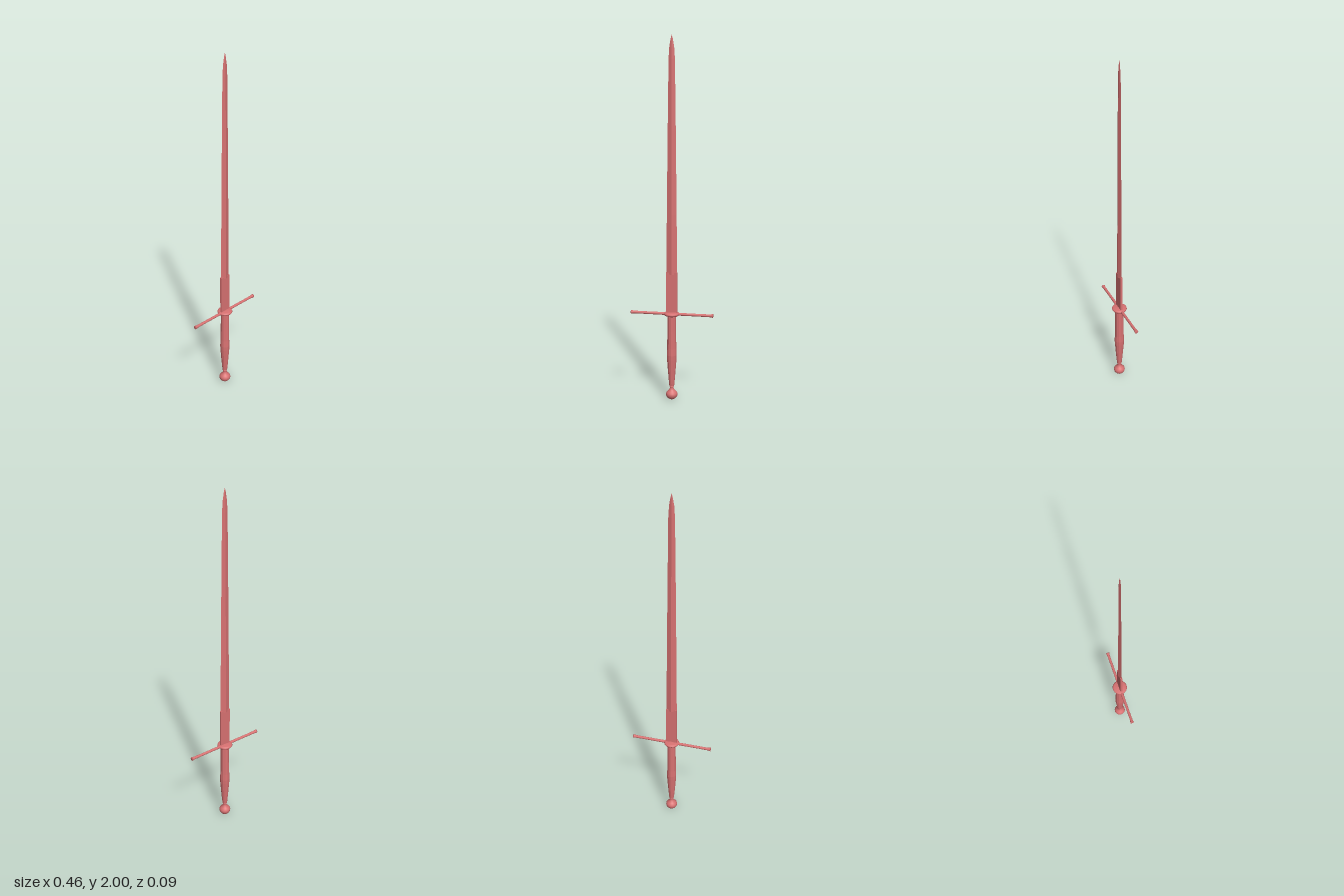
import * as THREE from 'three';

const red = new THREE.MeshStandardMaterial({ color: 0xd87272 });
const redFlat = new THREE.MeshStandardMaterial({ color: 0xd87272, flatShading: true });

function add(parent, name, geometry, material = red) {
  const mesh = new THREE.Mesh(geometry, material);
  mesh.name = name;
  parent.add(mesh);
  return mesh;
}

// Turned part from [radius, height] pairs, listed bottom to top
function turned(points, sides) {
  return new THREE.LatheGeometry(points.map(([r, y]) => new THREE.Vector2(r, y)), sides);
}

// Diamond-section blade through [height, half width, half thickness] stations, base to tip
function bladeGeometry(stations) {
  const rows = stations.length - 1;
  const geometry = new THREE.CylinderGeometry(1, 1, 1, 4, rows, false);
  const p = geometry.attributes.position;
  for (let i = 0; i < p.count; i++) {
    const [y, w, t] = stations[Math.round((p.getY(i) + 0.5) * rows)];
    p.setXYZ(i, p.getX(i) * w, y, p.getZ(i) * t);
  }
  const flat = geometry.toNonIndexed();
  flat.computeVertexNormals();
  return flat;
}

export function createModel() {
  const sword = new THREE.Group();
  sword.name = 'sword';

  // Ridged blade, slowly tapering and then closing in a rounded point
  add(sword, 'blade', bladeGeometry([
    [0.72, 0.03, 0.011], [1.05, 0.027, 0.0095], [1.5, 0.022, 0.0075],
    [1.88, 0.017, 0.0055], [1.94, 0.013, 0.0045], [1.98, 0.006, 0.003], [2, 0.0005, 0.0005],
  ]), redFlat);

  // Thin flat section between blade and guard
  add(sword, 'ricasso', new THREE.BoxGeometry(0.061, 0.25, 0.012), redFlat).position.y = 0.606;

  // Domed round collar at the middle of the guard
  add(sword, 'guardCollar', turned([
    [0, 0.485], [0.032, 0.486], [0.04, 0.49], [0.043, 0.496], [0.041, 0.501], [0.034, 0.505], [0, 0.507],
  ], 24));

  // Straight guard arms with flared ends
  for (const side of [-1, 1]) {
    const arm = add(sword, side > 0 ? 'leftGuardArm' : 'rightGuardArm', turned([
      [0, 0], [0.008, 0], [0.0075, 0.15], [0.008, 0.215], [0.0105, 0.226], [0.0105, 0.23], [0, 0.23],
    ], 12));
    arm.rotation.z = -side * Math.PI / 2;
    arm.position.y = 0.496;
  }

  // Long faceted grip, swelling above its lower third
  add(sword, 'grip', turned([
    [0, 0.078], [0.014, 0.08], [0.017, 0.11], [0.022, 0.17], [0.027, 0.235],
    [0.028, 0.26], [0.026, 0.3], [0.0245, 0.4], [0.0235, 0.488], [0, 0.49],
  ], 12), redFlat);

  // Rounded pommel with a narrow neck
  add(sword, 'pommel', turned([
    [0, 0], [0.013, 0.002], [0.023, 0.008], [0.03, 0.017], [0.033, 0.028], [0.031, 0.038],
    [0.024, 0.047], [0.015, 0.055], [0.011, 0.065], [0.011, 0.073], [0.014, 0.08], [0, 0.081],
  ], 24));

  return sword;
}
